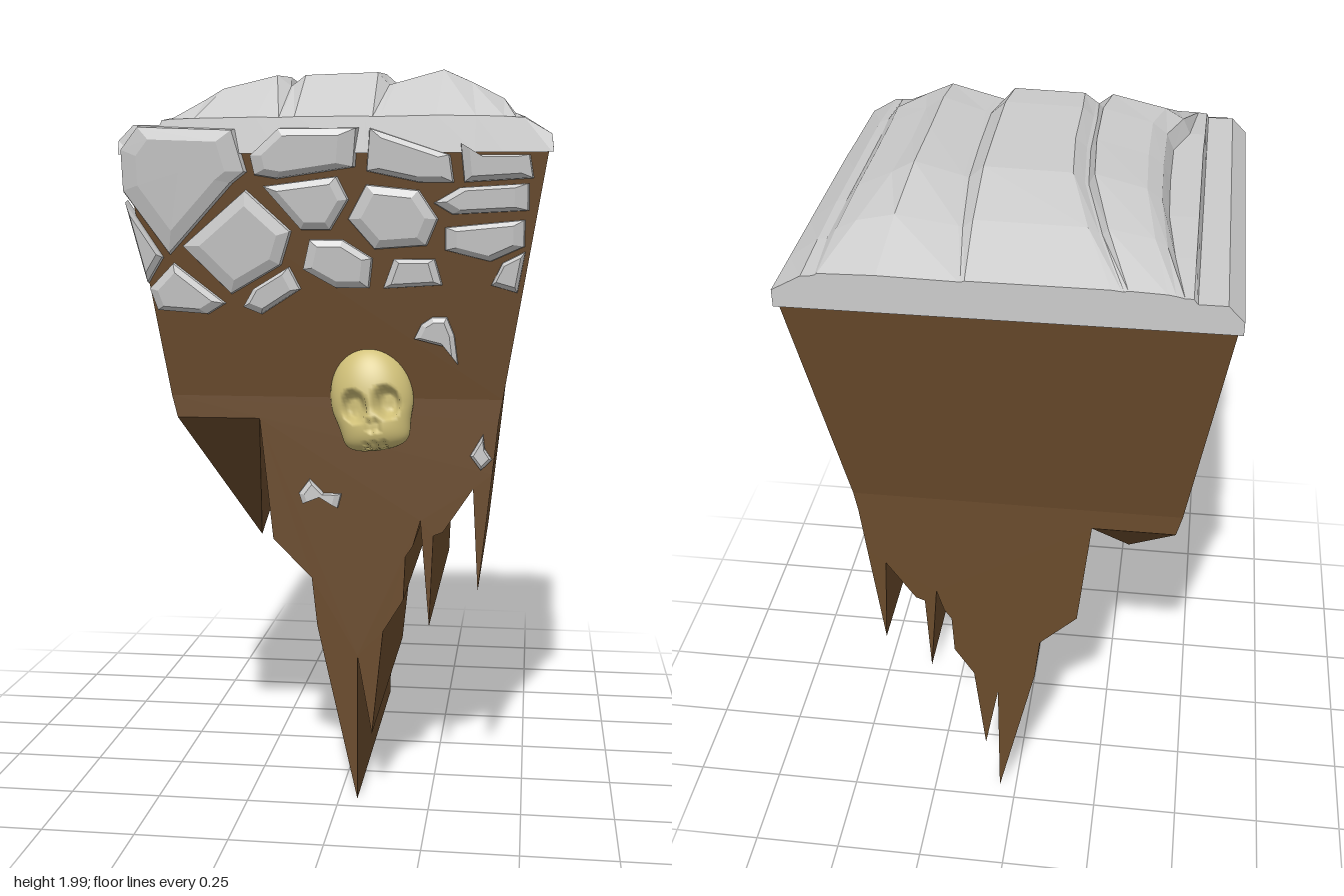
import * as THREE from 'three';

const stoneMat = new THREE.MeshStandardMaterial({ color: 0xcccccc, flatShading: true });
const earthMat = new THREE.MeshStandardMaterial({ color: 0x6a4b2c, flatShading: true });
const boneMat = new THREE.MeshStandardMaterial({ color: 0xd0c078 });

// Skin a list of equal-length cross-sections with flat quads
function loft(rows, closed) {
  const pos = [];
  for (let i = 0; i < rows.length - 1; i++) {
    const n = rows[i].length;
    for (let j = 0; j < (closed ? n : n - 1); j++) {
      const k = (j + 1) % n;
      const a = rows[i][j], b = rows[i + 1][j], c = rows[i + 1][k], d = rows[i][k];
      pos.push(...a, ...b, ...c, ...a, ...c, ...d);
    }
  }
  const g = new THREE.BufferGeometry();
  g.setAttribute('position', new THREE.Float32BufferAttribute(pos, 3));
  g.computeVertexNormals();
  return g;
}

function add(group, name, geo, mat) {
  const m = new THREE.Mesh(geo, mat);
  m.name = name;
  group.add(m);
  return m;
}

const rect = (x0, x1, y, z0, z1) => [[x0, y, z1], [x1, y, z1], [x1, y, z0], [x0, y, z0]];

// Depth of the earth's front face at a height
const frontZ = (y) => 0.45 + 0.09 * THREE.MathUtils.clamp((y - 1.15) / 0.62, 0, 1.1);

// Chamfered stone lying on the front face, from its outline
function stone(points, h) {
  const pts = points.map((p) => new THREE.Vector2(...p));
  if (THREE.ShapeUtils.isClockWise(pts)) pts.reverse();
  const c = pts.reduce((s, p) => s.add(p), new THREE.Vector2()).divideScalar(pts.length);
  const ring = (s, lift) => pts.map((p) => {
    const q = p.clone().sub(c).multiplyScalar(s).add(c);
    return [q.x, q.y, frontZ(q.y) + lift];
  });
  return loft([ring(0, h), ring(0.68, h), ring(0.94, h * 0.6), ring(1, -0.02)], true);
}

// Layered rock slab: ridges run along z, each given as [height, xBack, xMiddle, xFront]
function capGeometry() {
  const rails = [
    [1.8, -0.56, -0.56, -0.56], [1.84, -0.52, -0.52, -0.52], [1.84, -0.45, -0.45, -0.45],
    [1.88, -0.44, -0.44, -0.445], [1.88, -0.42, -0.36, -0.44], [1.925, -0.4, -0.34, -0.42],
    [1.955, -0.38, -0.3, -0.36], [1.99, -0.29, -0.165, -0.2], [1.96, -0.28, -0.15, -0.14],
    [1.965, -0.275, -0.14, -0.135], [1.99, -0.25, -0.11, -0.1], [1.995, 0.09, 0.1, 0.08],
    [1.96, 0.1, 0.14, 0.1], [1.965, 0.105, 0.155, 0.12], [2, 0.3, 0.27, 0.26],
    [1.965, 0.44, 0.32, 0.36], [1.92, 0.445, 0.42, 0.43], [1.88, 0.46, 0.45, 0.46],
    [1.87, 0.48, 0.48, 0.48], [1.81, 0.555, 0.555, 0.55]];
  // [z, share of ridge height, blend of middle x]
  const stations = [[-0.57, 0.1, 0], [-0.4, 0.6, 0.5], [-0.2, 0.93, 0.9], [0, 0.97, 1],
    [0.2, 1, 1], [0.32, 0.95, 0.5], [0.54, 0.05, 0]];
  const rows = stations.map(([z, k, b]) => {
    const row = rails.map(([y, xb, xm, xf]) => [
      THREE.MathUtils.lerp(z < 0 ? xb : xf, xm, b), Math.min(y, 1.85) + Math.max(0, y - 1.85) * k, z]);
    return [[-0.56, 1.77, z], ...row, [0.555, 1.77, z]];
  });
  const skirt = (row, z) => row.map(([x]) => [x, 1.765, z]);
  return loft([skirt(rows[0], -0.57), ...rows, skirt(rows[6], 0.55)], false);
}

// Skull: a sphere narrowed to a jaw, with sockets pressed in
function skullGeometry() {
  const g = new THREE.SphereGeometry(1, 64, 48);
  const p = g.attributes.position;
  const dents = [[-0.4, -0.12, 0.29, 0.3, 0.55], [0.4, -0.12, 0.29, 0.3, 0.55],
    [-0.09, -0.52, 0.07, 0.13, 0.25], [0.09, -0.52, 0.07, 0.13, 0.25],
    [-0.2, -0.95, 0.05, 0.14, 0.3], [0, -0.95, 0.05, 0.14, 0.3], [0.2, -0.95, 0.05, 0.14, 0.3]];
  for (let i = 0; i < p.count; i++) {
    let x = p.getX(i), y = p.getY(i), z = p.getZ(i);
    if (y < -0.2) {
      const t = (-0.2 - y) / 0.8;
      x *= 1 - 0.12 * t + 0.9 * t * t * t;
      z += 0.4 * t * Math.max(0, z + 0.4);
    }
    if (z > 0) {
      for (const [dx, dy, rx, ry, depth] of dents) {
        const d = Math.hypot((x - dx) / rx, (y - dy) / ry);
        z -= depth * (1 - THREE.MathUtils.smoothstep(d, 0.65, 1.1));
      }
    }
    p.setXYZ(i, x * 0.11, y * 0.14, z * 0.075);
  }
  g.computeVertexNormals();
  return g;
}

export function createModel() {
  const model = new THREE.Group();
  model.name = 'floatingRock';

  add(model, 'rockCap', capGeometry(), stoneMat);

  // Flared upper earth
  add(model, 'upperEarth', loft([
    rect(-0.55, 0.545, 1.78, -0.565, 0.54),
    rect(-0.455, 0.435, 1.13, -0.455, 0.45)], true), earthMat);

  // Hanging earth with jagged underside
  const outline = [[0.435, 1.13], [-0.455, 1.13], [-0.44, 1.07], [-0.215, 1.07], [-0.18, 0.74],
    [-0.075, 0.635], [-0.06, 0.5], [0.05, 0.01], [0.05, 0.42], [0.09, 0.2], [0.12, 0.49],
    [0.175, 0.58], [0.18, 0.7], [0.2, 0.73], [0.22, 0.8], [0.245, 0.51], [0.255, 0.76],
    [0.28, 0.77], [0.36, 0.89], [0.375, 0.61], [0.41, 0.93], [0.425, 1.07]];
  const lower = new THREE.ExtrudeGeometry(
    new THREE.Shape(outline.map((p) => new THREE.Vector2(...p))), { depth: 0.905, bevelEnabled: false });
  lower.translate(0, 0, -0.455);
  add(model, 'lowerEarth', lower, earthMat);

  // Pointed side root
  add(model, 'sideSpike', loft([
    rect(-0.44, -0.215, 1.07, -0.455, 0.45), rect(-0.3, -0.3, 0.65, 0, 0)], true), earthMat);

  // Stones set in the front face
  const upperStones = [
    [[-0.56, 1.67], [-0.56, 1.78], [-0.51, 1.84], [-0.25, 1.83], [-0.22, 1.72], [-0.26, 1.69], [-0.44, 1.5]],
    [[-0.21, 1.71], [-0.22, 1.76], [-0.14, 1.83], [0.07, 1.83], [0.06, 1.73], [-0.15, 1.7]],
    [[-0.19, 1.685], [0.01, 1.71], [0.04, 1.65], [-0.01, 1.57], [-0.09, 1.57]],
    [[0.09, 1.83], [0.3, 1.76], [0.31, 1.69], [0.22, 1.69], [0.08, 1.72]],
    [[0.32, 1.79], [0.35, 1.76], [0.5, 1.76], [0.51, 1.7], [0.33, 1.69]],
    [[0.25, 1.64], [0.32, 1.68], [0.5, 1.69], [0.5, 1.62], [0.3, 1.61]]];
  const lowerStones = [
    [[-0.55, 1.65], [-0.455, 1.5], [-0.5, 1.43]],
    [[-0.5, 1.42], [-0.43, 1.49], [-0.29, 1.38], [-0.34, 1.35], [-0.48, 1.36]],
    [[-0.41, 1.53], [-0.23, 1.68], [-0.11, 1.57], [-0.14, 1.48], [-0.28, 1.4]],
    [[-0.25, 1.37], [-0.22, 1.42], [-0.12, 1.48], [-0.09, 1.42], [-0.2, 1.35]],
    [[-0.09, 1.47], [-0.07, 1.55], [0.02, 1.55], [0.1, 1.5], [0.09, 1.42], [0, 1.42]],
    [[0.03, 1.6], [0.08, 1.69], [0.22, 1.675], [0.27, 1.6], [0.24, 1.53], [0.1, 1.52]],
    [[0.28, 1.58], [0.49, 1.6], [0.49, 1.53], [0.4, 1.49], [0.28, 1.52]],
    [[0.12, 1.42], [0.15, 1.5], [0.26, 1.5], [0.28, 1.43]],
    [[0.4, 1.43], [0.43, 1.49], [0.49, 1.52], [0.47, 1.41]]];
  for (const s of [...upperStones, ...lowerStones]) add(model, 'frontStone', stone(s, 0.028), stoneMat);

  // Small chips lower down
  const chips = [
    [[0.2, 1.29], [0.22, 1.33], [0.25, 1.35], [0.29, 1.35], [0.31, 1.3], [0.32, 1.22], [0.28, 1.27], [0.24, 1.28]],
    [[-0.11, 0.87], [-0.08, 0.91], [-0.04, 0.87], [0.01, 0.87], [0, 0.83], [-0.05, 0.86], [-0.1, 0.84]],
    [[0.35, 0.98], [0.385, 1.04], [0.39, 1], [0.41, 0.97], [0.38, 0.94]]];
  for (const c of chips) add(model, 'chip', stone(c, 0.02), stoneMat);

  const skull = add(model, 'skull', skullGeometry(), boneMat);
  skull.position.set(0.09, 1.13, 0.455);
  skull.rotation.set(-0.12, 0, 0.15);
  return model;
}
